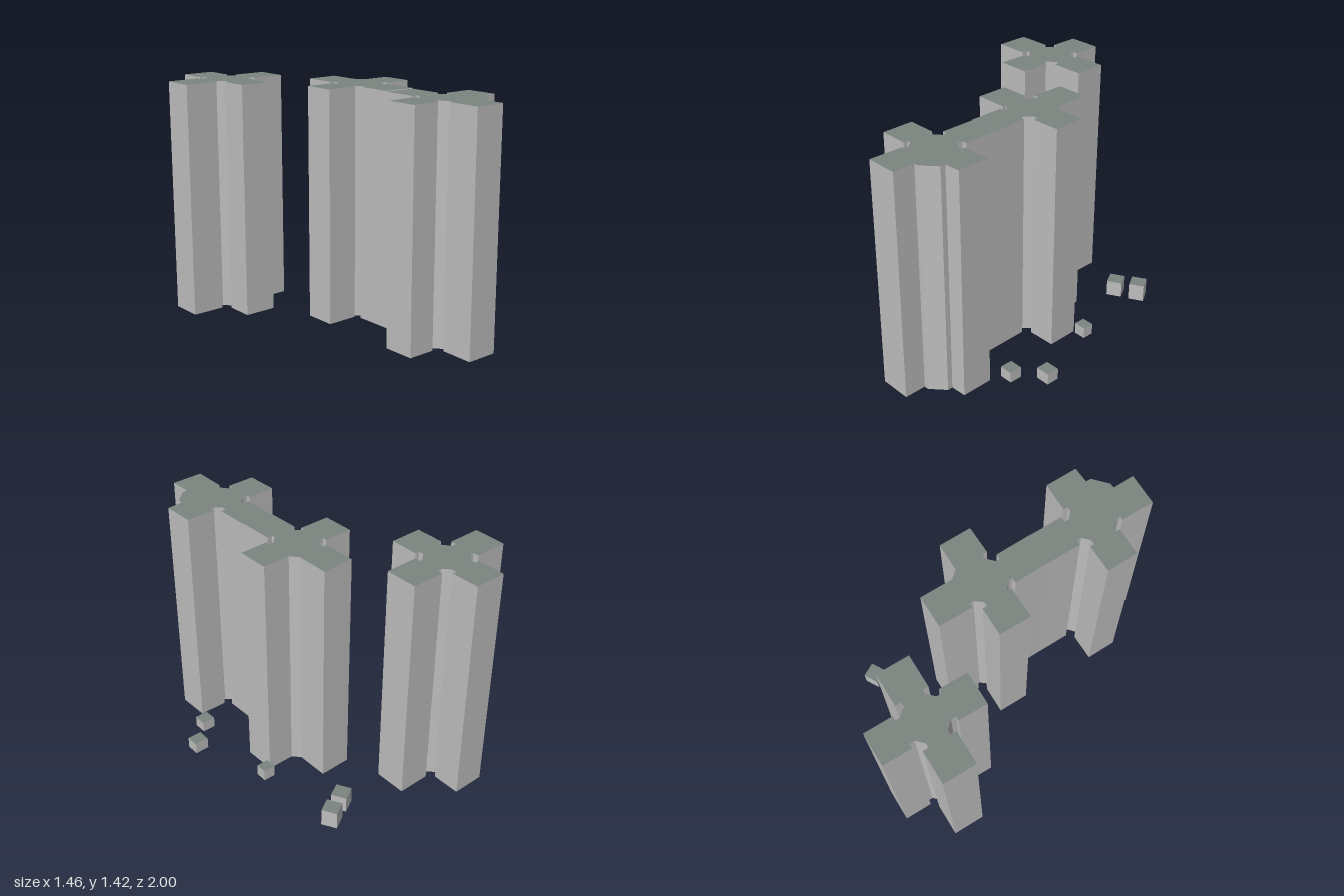
import * as THREE from 'three';

const wallMat = new THREE.MeshStandardMaterial({ color: 0xbdbdbd, side: THREE.DoubleSide });
wallMat.name = 'wall grey';
const roofMat = new THREE.MeshStandardMaterial({ color: 0x7c8580, side: THREE.DoubleSide });
roofMat.name = 'roof slate';

// Hollow block over an [x, z] plan, clockwise seen from above; an open plan leaves its last side unwalled
function block(name, plan, height, open = false) {
  const group = new THREE.Group();
  group.name = name;

  const pos = [];
  const sides = open ? plan.length - 1 : plan.length;
  for (let i = 0; i < sides; i++) {
    const [px, pz] = plan[i];
    const [qx, qz] = plan[(i + 1) % plan.length];
    pos.push(qx, 0, qz, px, 0, pz, px, height, pz);
    pos.push(qx, 0, qz, px, height, pz, qx, height, qz);
  }
  const wallGeo = new THREE.BufferGeometry();
  wallGeo.setAttribute('position', new THREE.Float32BufferAttribute(pos, 3));
  wallGeo.computeVertexNormals();
  const walls = new THREE.Mesh(wallGeo, wallMat);
  walls.name = name + 'Walls';

  const shape = new THREE.Shape(plan.map(([x, z]) => new THREE.Vector2(x, -z)));
  const roof = new THREE.Mesh(new THREE.ShapeGeometry(shape).rotateX(-Math.PI / 2), roofMat);
  roof.name = name + 'Roof';
  roof.position.y = height;

  group.add(walls, roof);
  return group;
}

// Cross plan: one notched inner corner mirrored into four quadrants
function crossPlan() {
  const ne = [[0.1, -0.313], [0.1, -0.138], [0.073, -0.138], [0.073, -0.108],
    [0.114, -0.065], [0.141, -0.065], [0.141, -0.1], [0.343, -0.1]];
  const mirror = (sx, sz) => ne.map(([x, z]) => [x * sx, z * sz]);
  return [...ne, ...mirror(1, -1).reverse(), ...mirror(-1, -1), ...mirror(-1, 1).reverse()];
}

// Middle tower with its half of the connecting wing
const middlePlan = [
  [0.07, 0.3], [0.056, 0.09], [0.087, 0.085], [0.085, 0.063], [0.045, 0.032], [0.035, 0.032],
  [0.038, 0.055], [-0.156, 0.065], [-0.167, -0.13], [0.008, -0.138], [0.01, -0.11],
  [0.035, -0.112], [0.07, -0.16], [0.068, -0.185], [0.04, -0.182], [0.03, -0.388],
  [0.226, -0.4], [0.237, -0.2], [0.28, -0.157], [0.448, -0.165], [0.46, 0.03],
  [0.288, 0.042], [0.287, 0.015], [0.26, 0.013], [0.215, 0.06], [0.218, 0.082],
  [0.25, 0.08], [0.265, 0.3],
];

// Front tower with the other half of the wing and a chamfered corner
const frontPlan = [
  [0.265, 0.3], [0.277, 0.503], [0.245, 0.505], [0.245, 0.535], [0.288, 0.567], [0.313, 0.565],
  [0.313, 0.538], [0.488, 0.53], [0.5, 0.725], [0.402, 0.735], [0.404, 0.767], [0.323, 0.848],
  [0.295, 0.85], [0.303, 0.985], [0.108, 0.995], [0.1, 0.79], [0.125, 0.788], [0.12, 0.765],
  [0.08, 0.72], [0.055, 0.722], [0.056, 0.748], [-0.115, 0.757], [-0.128, 0.563],
  [0.045, 0.552], [0.046, 0.578], [0.075, 0.575], [0.115, 0.535], [0.113, 0.508],
  [0.082, 0.508], [0.07, 0.3],
];

// Small outbuildings: x, z, width, depth, height, turn
const sheds = [
  [0.303, -0.67, 0.094, 0.094, 0.1, 0.55],
  [0.43, -0.743, 0.094, 0.094, 0.11, 0.56],
  [0.5, -0.196, 0.075, 0.07, 0.07, 0.03],
  [0.685, 0.266, 0.088, 0.08, 0.07, 0.04],
  [0.538, 0.415, 0.083, 0.08, 0.067, 0.04],
];

export function createModel() {
  const model = new THREE.Group();
  model.name = 'towerBlocks';

  const back = block('backTower', crossPlan(), 1.424);
  back.position.set(-0.386, 0, -0.686);
  back.rotation.y = 0.05;
  model.add(back);

  model.add(block('middleTower', middlePlan, 1.42, true));
  model.add(block('frontTower', frontPlan, 1.416, true));

  sheds.forEach(([x, z, w, d, h, turn], i) => {
    const a = w / 2, b = d / 2;
    const shed = block('shed' + (i + 1), [[-a, -b], [a, -b], [a, b], [-a, b]], h);
    shed.position.set(x, 0, z);
    shed.rotation.y = turn;
    model.add(shed);
  });
  return model;
}
